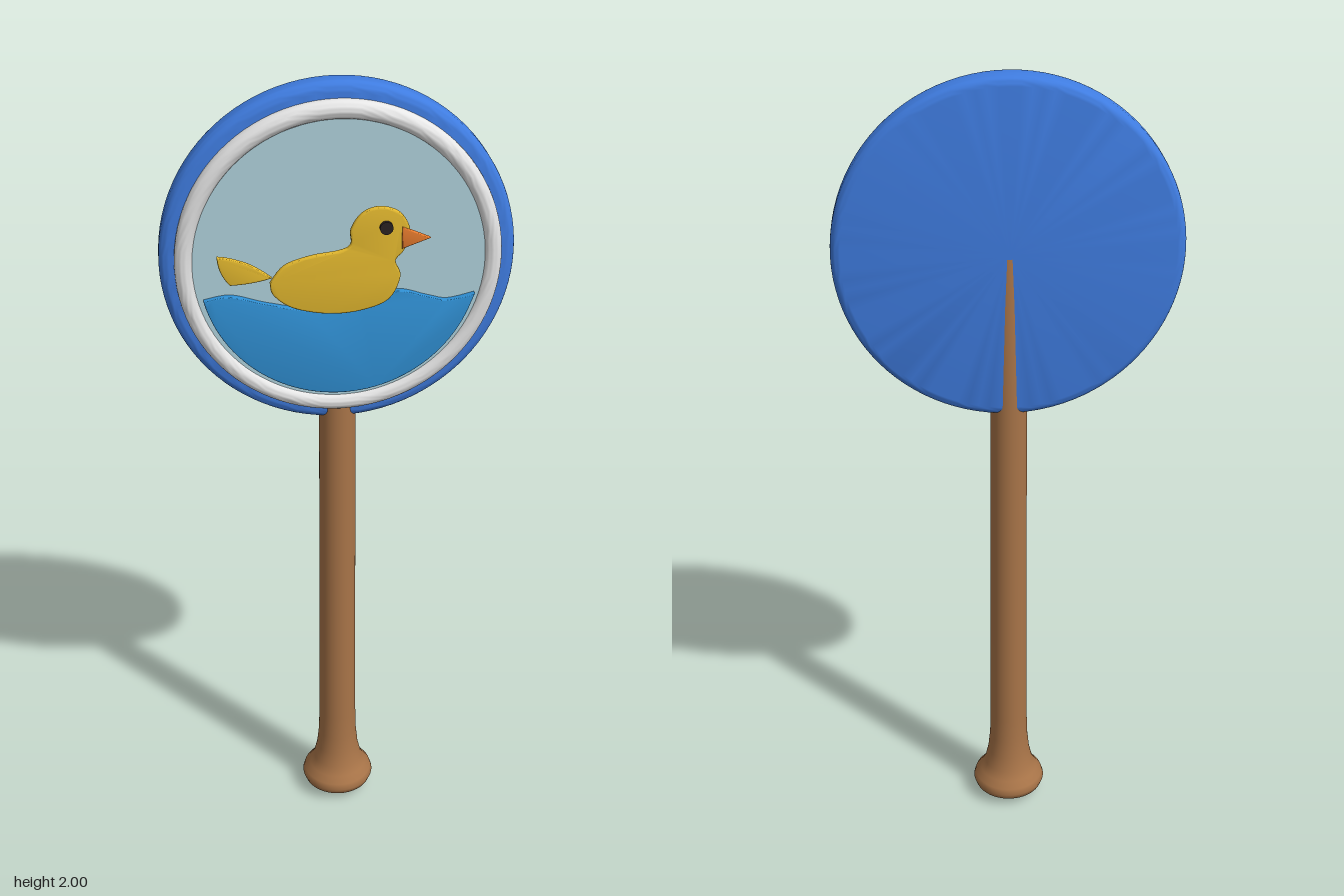
import * as THREE from 'three';
import { toCreasedNormals } from 'three/addons/utils/BufferGeometryUtils.js';

const CY = 1.59; // height of the disc centre

const paint = (name, color) => {
  const m = new THREE.MeshStandardMaterial({ color });
  m.name = name;
  return m;
};

export function createModel() {
  const group = new THREE.Group();
  const blue = paint('paddle blue', 0x3f7ce0);
  const white = paint('rim white', 0xe6e6e6);
  const sky = paint('sky blue', 0xb0d2dc);
  const water = paint('water blue', 0x3090d4);
  const yellow = paint('duck yellow', 0xe4b92f);
  const orange = paint('beak orange', 0xf08030);
  const dark = paint('eye dark', 0x2a2222);
  const wood = paint('handle wood', 0xa87448);

  const add = (name, geometry, material, x = 0, y = 0, z = 0) => {
    const mesh = new THREE.Mesh(geometry, material);
    mesh.name = name;
    mesh.position.set(x, y, z);
    group.add(mesh);
    return mesh;
  };

  // Profile of [radius, z] pairs turned around the z axis
  const turned = (pts) =>
    toCreasedNormals(
      new THREE.LatheGeometry(pts.map(([r, z]) => new THREE.Vector2(r, z)), 96).rotateX(Math.PI / 2), 0.7);

  // Rounded corner points for a profile
  const corner = (r, z, rad, from, to, n = 6) =>
    Array.from({ length: n + 1 }, (_, i) => {
      const a = from + ((to - from) * i) / n;
      return [r + rad * Math.cos(a), z + rad * Math.sin(a)];
    });

  // Flat plate with softly rounded edges, between z0 and z1
  const plate = (shape, z0, z1, bevel = 0.004) => {
    const g = new THREE.ExtrudeGeometry(shape, {
      depth: z1 - z0 - 2 * bevel, bevelEnabled: true, bevelThickness: bevel,
      bevelSize: bevel, bevelOffset: -bevel, bevelSegments: 3, curveSegments: 32,
    });
    return toCreasedNormals(g.translate(0, 0, z0 + bevel), 0.7);
  };

  const v2 = (pts) => pts.map(([x, y]) => new THREE.Vector2(x, y));

  // Round paddle board
  add('paddleDisc', turned([
    [0, -0.046],
    ...corner(0.387, -0.023, 0.023, -Math.PI / 2, 0),
    ...corner(0.387, 0.007, 0.023, 0, Math.PI / 2),
    [0, 0.03],
  ]), blue, 0, CY);

  // Raised white rim
  add('rim', turned([
    [0.375, 0.02],
    ...corner(0.354, 0.039, 0.021, 0, Math.PI, 12),
    [0.325, 0.039], [0.325, 0.02],
  ]), white, 0, CY);

  // Picture background
  add('sky', turned([[0.336, 0.028], [0.336, 0.048], [0, 0.048]]), sky, 0, CY);

  // Water with a wavy top, closed by the lower arc of the circle
  const R = 0.322;
  const wave = new THREE.SplineCurve(v2([
    [-0.313, 1.515], [-0.25, 1.524], [-0.17, 1.502], [-0.05, 1.48], [0.05, 1.495],
    [0.13, 1.522], [0.2, 1.505], [0.25, 1.494], [0.313, 1.507],
  ])).getPoints(40);
  const a0 = Math.atan2(1.507 - CY, 0.313), a1 = -Math.PI - Math.atan2(1.515 - CY, 0.313);
  const arc = Array.from({ length: 49 }, (_, i) => {
    const a = a0 + ((a1 - a0) * i) / 48;
    return new THREE.Vector2(R * Math.cos(a), CY + R * Math.sin(a));
  });
  add('water', plate(new THREE.Shape([...wave, ...arc.slice(1, -1)]), 0.045, 0.064, 0.002), water);

  // Duck body and head in one outline
  const duck = new THREE.Shape(new THREE.SplineCurve(v2([
    [-0.163, 1.565], [-0.13, 1.605], [-0.07, 1.626], [-0.005, 1.636], [0.02, 1.65],
    [0.02, 1.685], [0.045, 1.722], [0.085, 1.736], [0.13, 1.722], [0.154, 1.68],
    [0.142, 1.635], [0.122, 1.608], [0.134, 1.57], [0.108, 1.515], [0.045, 1.49],
    [-0.03, 1.485], [-0.11, 1.502], [-0.155, 1.535], [-0.163, 1.565],
  ])).getPoints(90).slice(0, -1));
  add('duckBody', plate(duck, 0.077, 0.092), yellow);

  // Tail feather
  const tail = new THREE.Shape();
  tail.moveTo(-0.158, 1.578);
  tail.quadraticCurveTo(-0.2, 1.612, -0.232, 1.621);
  tail.quadraticCurveTo(-0.255, 1.63, -0.28, 1.632);
  tail.quadraticCurveTo(-0.278, 1.59, -0.252, 1.564);
  tail.quadraticCurveTo(-0.2, 1.565, -0.158, 1.578);
  add('duckTail', plate(tail, 0.078, 0.091, 0.003), yellow);

  // Beak
  const beak = new THREE.Shape(v2([[0.135, 1.638], [0.2, 1.662], [0.135, 1.69]]));
  add('beak', plate(beak, 0.085, 0.097, 0.003), orange);

  // Eye
  add('eye', new THREE.CylinderGeometry(0.015, 0.015, 0.009, 24).rotateX(Math.PI / 2), dark, 0.099, 1.69, 0.0965);

  // Turned handle with a flared knob, running up behind the disc
  add('handle', new THREE.LatheGeometry(v2([
    [0, 0], [0.035, 0.003], [0.07, 0.013], [0.09, 0.028], [0.096, 0.044], [0.091, 0.06],
    [0.077, 0.077], [0.065, 0.1], [0.056, 0.14], [0.051, 0.19], [0.049, 0.26],
    [0.0465, 0.7], [0.0445, 1.2], [0.0415, 1.58], [0, 1.58],
  ]), 48), wood, 0, 0, -0.005);

  return group;
}
